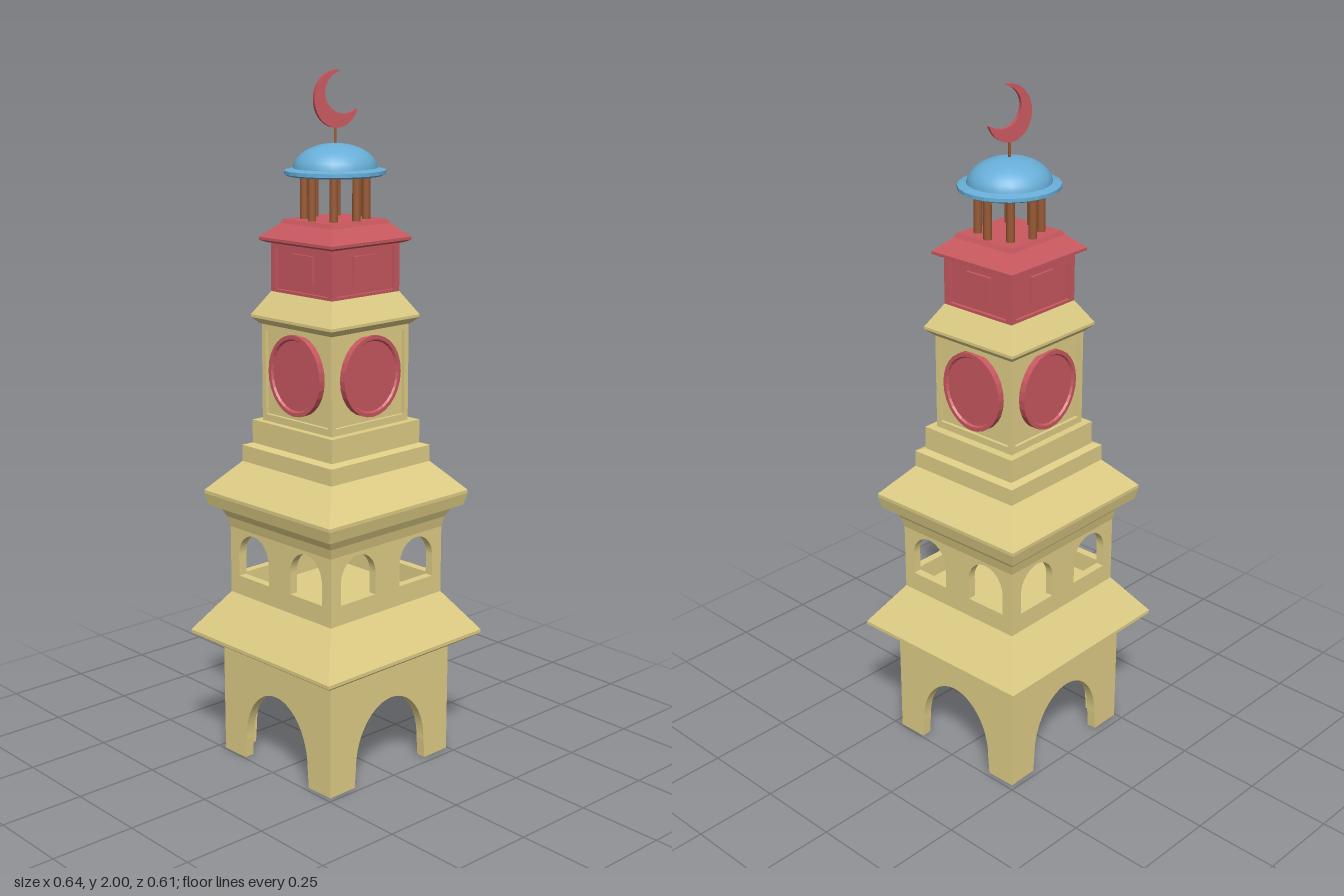
import * as THREE from 'three';

const mat = (color, flatShading = true) =>
  new THREE.MeshStandardMaterial({ color, flatShading, side: THREE.DoubleSide });
const SAND = mat(0xdfce86), RED = mat(0xc8585f), BROWN = mat(0x9a5a35, false);
const BLUE = mat(0x68aed8, false), BLUE_FLAT = mat(0x68aed8);

function add(parent, name, geometry, material, x = 0, y = 0, z = 0) {
  const mesh = new THREE.Mesh(geometry, material);
  mesh.name = name;
  mesh.position.set(x, y, z);
  parent.add(mesh);
  return mesh;
}

const lathe = (points, segments) =>
  new THREE.LatheGeometry(points.map(([r, y]) => new THREE.Vector2(r, y)), segments);

// Square moulding: profile of [half width, height] swept round four sides
const square = (points) =>
  lathe(points.map(([h, y]) => [h * Math.SQRT2, y]), 4).rotateY(Math.PI / 4);

// Repeats a part on all four faces of the tower
function fourSides(parent, name, build) {
  for (let i = 0; i < 4; i++) {
    const side = new THREE.Group();
    side.name = name;
    side.rotation.y = i * Math.PI / 2;
    build(side);
    parent.add(side);
  }
}

// Raised border round a rectangular panel
function frame(parent, name, material, half, y0, y1, border, bottom, z, depth) {
  const shape = new THREE.Shape([[-half, y0], [half, y0], [half, y1], [-half, y1]]
    .map(([x, y]) => new THREE.Vector2(x, y)));
  const i = half - border;
  shape.holes.push(new THREE.Path([[-i, y0 + bottom], [-i, y1 - border], [i, y1 - border], [i, y0 + bottom]]
    .map(([x, y]) => new THREE.Vector2(x, y))));
  add(parent, name, new THREE.ExtrudeGeometry(shape, { depth, bevelEnabled: false }), material, 0, 0, z);
}

export function createModel() {
  const tower = new THREE.Group();
  tower.name = 'clockTower';
  const body = new THREE.Group();
  body.name = 'towerBody';
  body.scale.z = 0.955;
  body.rotation.y = 0.026;
  tower.add(body);

  // Ground floor: thin walls, each with a tall open arch
  fourSides(body, 'lowerWall', (side) => {
    const s = new THREE.Shape();
    s.moveTo(-0.24, 0);
    s.lineTo(-0.145, 0);
    s.lineTo(-0.14, 0.06);
    s.absellipse(0, 0.06, 0.14, 0.175, Math.PI, 0, true);
    s.lineTo(0.145, 0);
    s.lineTo(0.24, 0);
    s.lineTo(0.24, 0.362);
    s.lineTo(-0.24, 0.362);
    add(side, 'archWall', new THREE.ExtrudeGeometry(s, { depth: 0.03, bevelEnabled: false, curveSegments: 20 }),
      SAND, 0, 0, 0.21);
  });

  // Wide lower eave
  add(body, 'lowerEave', square([[0, 0.36], [0.288, 0.355], [0.31, 0.37], [0.31, 0.38], [0.222, 0.5], [0, 0.5]]), SAND);

  // Gallery: hollow room with two arched windows per side
  fourSides(body, 'galleryWall', (side) => {
    const s = new THREE.Shape();
    s.moveTo(-0.222, 0.495);
    s.lineTo(0.222, 0.495);
    s.lineTo(0.222, 0.702);
    s.lineTo(-0.222, 0.702);
    for (const x of [-0.116, 0.116]) {
      const h = new THREE.Path();
      h.moveTo(x + 0.068, 0.557);
      h.lineTo(x + 0.068, 0.62);
      h.absellipse(x, 0.62, 0.068, 0.07, 0, Math.PI, false);
      h.lineTo(x - 0.068, 0.557);
      s.holes.push(h);
    }
    add(side, 'windowWall', new THREE.ExtrudeGeometry(s, { depth: 0.025, bevelEnabled: false, curveSegments: 14 }),
      SAND, 0, 0, 0.197);
  });

  // Flared cornice, sloping roof and two steps
  add(body, 'galleryCornice', square([[0, 0.7], [0.222, 0.7], [0.229, 0.73], [0.245, 0.762], [0.268, 0.765],
    [0.276, 0.8], [0.276, 0.81], [0.195, 0.897], [0.195, 0.945], [0.173, 0.952], [0.173, 1.02], [0, 1.02]]), SAND);

  const top = new THREE.Group();
  top.name = 'upperTower';
  top.position.x = -0.003;
  body.add(top);

  // Clock stage with framed faces and blank round dials
  add(top, 'clockStage', square([[0.14, 1.02], [0.14, 1.3]]), SAND);
  const dial = lathe([[0.11, 0], [0.11, 0.02], [0.099, 0.02], [0.095, 0.014], [0, 0.014]], 28).rotateX(Math.PI / 2);
  fourSides(top, 'clockFace', (side) => {
    frame(side, 'clockFrame', SAND, 0.15, 1.02, 1.3, 0.016, 0.02, 0.138, 0.012);
    add(side, 'dial', dial, RED, 0, 1.17, 0.14).scale.y = 1.05;
  });
  add(top, 'clockRoof', square([[0, 1.295], [0.153, 1.3], [0.172, 1.318], [0.172, 1.326], [0.13, 1.392], [0, 1.392]]), SAND);

  // Red stage with recessed sides and a small raised panel
  add(top, 'redStage', square([[0.12, 1.39], [0.12, 1.54]]), RED);
  fourSides(top, 'redSide', (side) => {
    frame(side, 'redFrame', RED, 0.13, 1.39, 1.54, 0.02, 0.01, 0.118, 0.012);
    add(side, 'smallPanel', new THREE.BoxGeometry(0.09, 0.08, 0.012), RED, 0, 1.465, 0.122);
  });
  add(top, 'redRoof', square([[0, 1.53], [0.14, 1.53], [0.154, 1.537], [0.154, 1.545], [0.11, 1.583],
    [0.104, 1.595], [0, 1.595]]), RED);

  // Ring of slim columns
  const column = new THREE.CylinderGeometry(0.012, 0.012, 0.15, 10);
  for (let i = 0; i < 8; i++) {
    const a = i * Math.PI / 4;
    add(top, 'column', column, BROWN, 0.088 * Math.cos(a), 1.665, 0.088 * Math.sin(a));
  }

  // Dome with a flat rim, hollow underneath
  add(top, 'domeRim', lathe([[0, 1.75], [0.07, 1.742], [0.115, 1.722], [0.135, 1.715], [0.145, 1.72],
    [0.145, 1.73], [0.118, 1.736]], 24), BLUE_FLAT);
  const curve = [];
  for (let i = 0; i <= 10; i++) {
    const a = i / 10 * Math.PI / 2;
    curve.push([0.12 * Math.cos(a), 1.732 + 0.071 * Math.sin(a)]);
  }
  add(top, 'dome', lathe(curve, 24), BLUE);

  // Finial: thin rod and crescent
  add(top, 'finialRod', new THREE.CylinderGeometry(0.004, 0.004, 0.06, 8), BROWN, 0, 1.82, 0);
  const c = new THREE.Shape();
  c.absellipse(0, 0, 0.067, 0.078, 1.48, 5.9, false);
  c.absellipse(0.023, 0.018, 0.058, 0.058, 5.37, 1.83, true);
  const moon = new THREE.ExtrudeGeometry(c, { depth: 0.012, bevelEnabled: false, curveSegments: 24 });
  moon.translate(0, 0, -0.006);
  add(tower, 'crescent', moon, RED, 0, 1.922, 0).rotation.y = -0.3;

  return tower;
}
